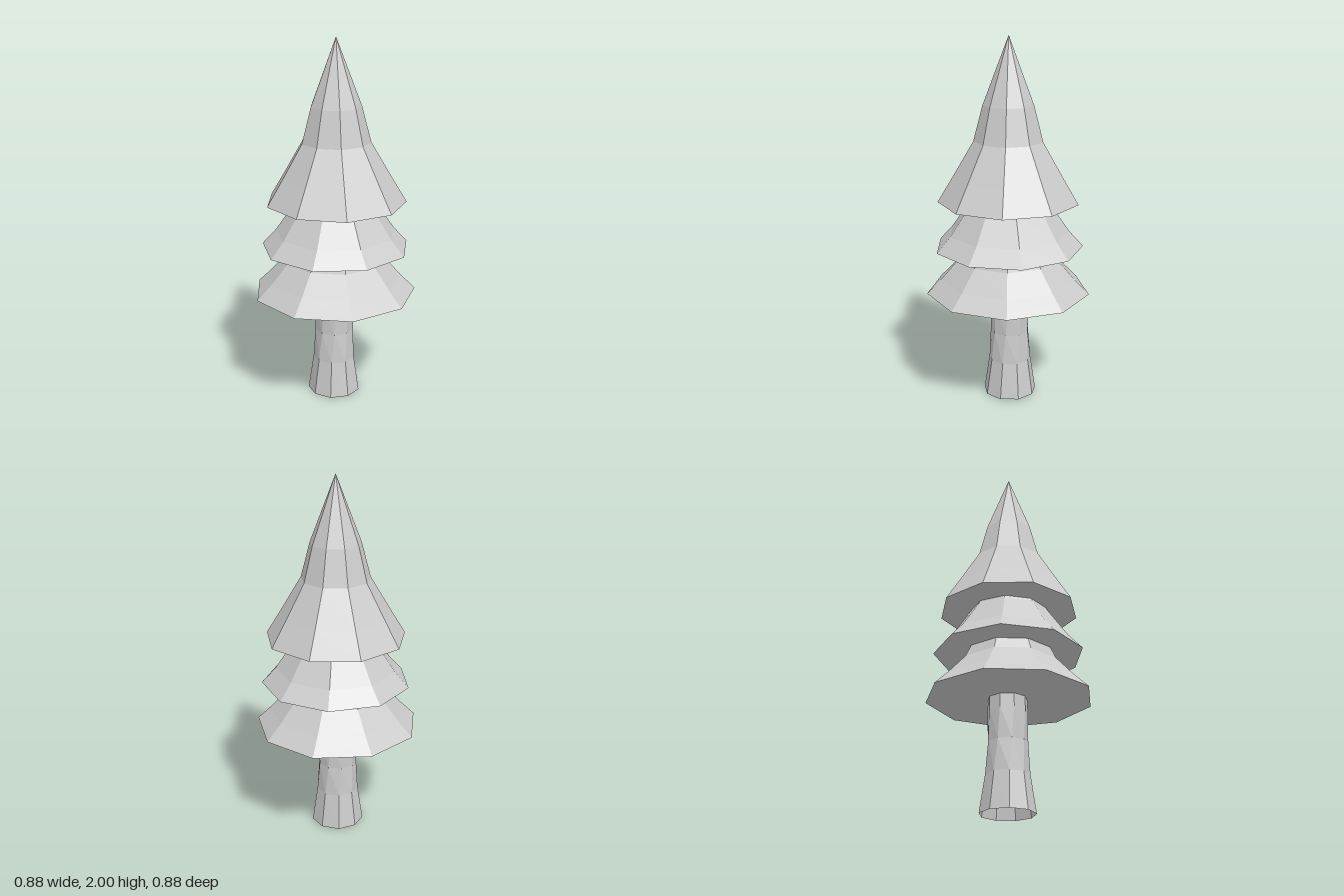
import * as THREE from 'three';

const SIDES = 9;
const rad = THREE.MathUtils.degToRad;

// Faceted nine-sided solid from [radius, height] pairs, listed bottom to top
function facetedLathe(name, profile, startDegrees, material) {
  const points = profile.map(([r, y]) => new THREE.Vector2(r, y));
  const mesh = new THREE.Mesh(
    new THREE.LatheGeometry(points, SIDES, rad(startDegrees), Math.PI * 2), material);
  mesh.name = name;
  return mesh;
}

export function createModel() {
  const group = new THREE.Group();
  group.name = 'pineTree';
  const foliage = new THREE.MeshStandardMaterial({ color: 0xcccccc, flatShading: true });
  const bark = new THREE.MeshStandardMaterial({
    color: 0xcccccc, flatShading: true, side: THREE.DoubleSide });

  // Trunk: open tube flaring at the foot, twisting slightly on the way up
  const trunk = facetedLathe('trunk',
    [[0.147, 0], [0.117, 0.2], [0.107, 0.37], [0.108, 0.54], [0.105, 0.66]], 5, bark);
  const pos = trunk.geometry.attributes.position;
  const v = new THREE.Vector3();
  const up = new THREE.Vector3(0, 1, 0);
  for (let i = 0; i < pos.count; i++) {
    v.fromBufferAttribute(pos, i);
    v.applyAxisAngle(up, rad(15) * THREE.MathUtils.smoothstep(v.y, 0.15, 0.55));
    pos.setXYZ(i, v.x, v.y, v.z);
  }
  trunk.position.set(0.003, 0, -0.009);
  group.add(trunk);

  // Foliage tiers: flat underside, flared skirt, narrowing into the tier above
  const tiers = [
    { name: 'lowerFoliage', start: 25, x: 0, profile:
      [[0, 0.61], [0.45, 0.61], [0.37, 0.69], [0.272, 0.8], [0.24, 0.87], [0.15, 1.05], [0, 1.2]] },
    { name: 'middleFoliage', start: 35.7, x: 0.007, profile:
      [[0, 0.865], [0.407, 0.865], [0.33, 0.95], [0.22, 1.11], [0.15, 1.28], [0, 1.45]] },
    { name: 'topFoliage', start: 21, x: 0.008, profile:
      [[0, 1.123], [0.383, 1.123], [0.3, 1.26], [0.188, 1.45], [0.138, 1.64], [0, 2]] },
  ];
  for (const { name, start, x, profile } of tiers) {
    const tier = facetedLathe(name, profile, start, foliage);
    tier.position.x = x;
    group.add(tier);
  }

  return group;
}
